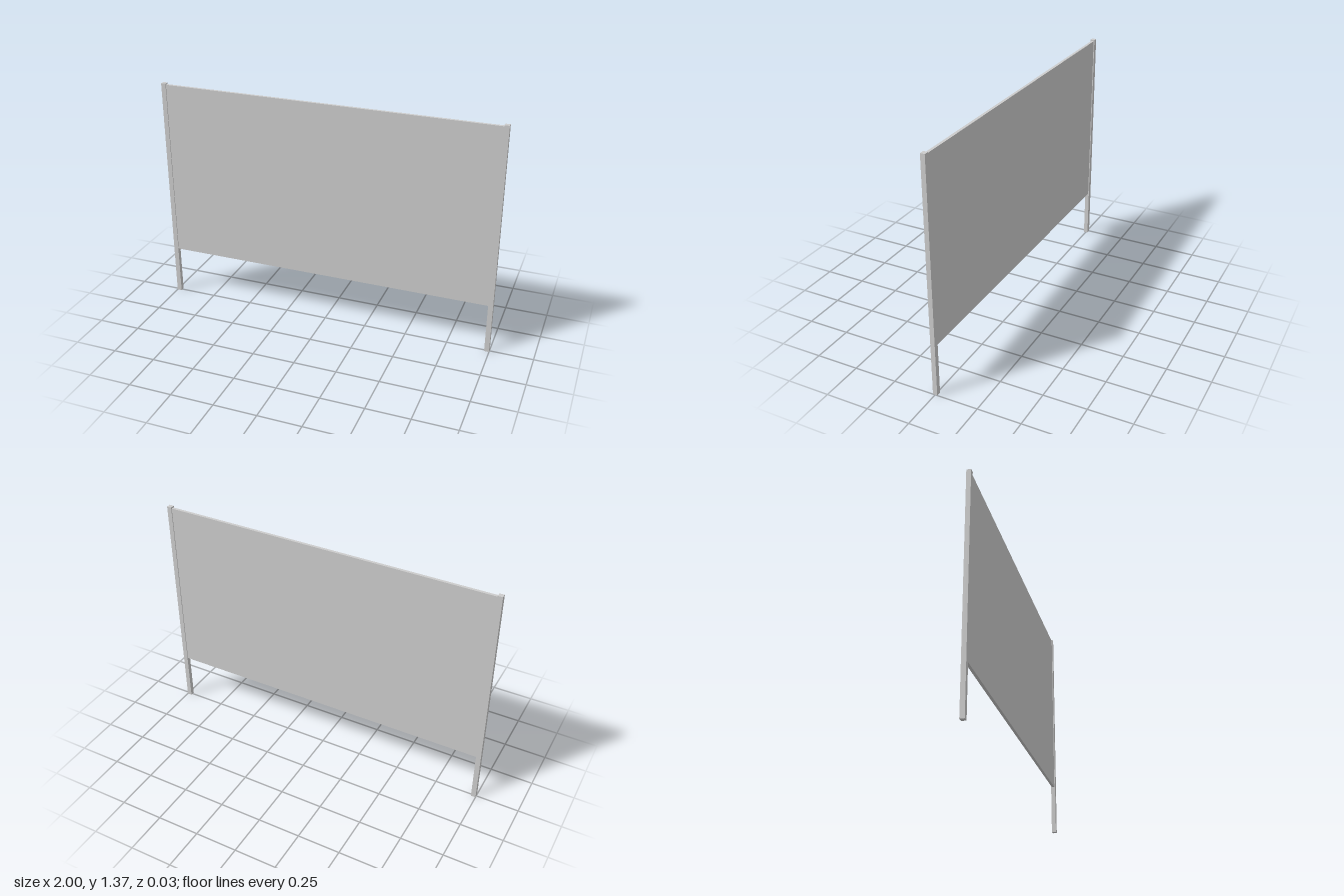
import * as THREE from 'three';

export function createModel() {
  const group = new THREE.Group();
  const material = new THREE.MeshStandardMaterial({ color: 0xcccccc });

  const postWidth = 0.028, postDepth = 0.026, postHeight = 1.365;
  const panelBottom = 0.297, panelTop = 1.357, panelDepth = 0.016;

  function addBox(name, w, h, d, x, y) {
    const mesh = new THREE.Mesh(new THREE.BoxGeometry(w, h, d), material);
    mesh.name = name;
    mesh.position.set(x, y, 0);
    group.add(mesh);
  }

  // Square posts at both ends
  for (const [name, side] of [['leftPost', 1], ['rightPost', -1]]) {
    addBox(name, postWidth, postHeight, postDepth, side * (1 - postWidth / 2), postHeight / 2);
  }

  // Flat panel held between the posts
  addBox('panel', 2 - 2 * postWidth, panelTop - panelBottom, panelDepth, 0, (panelTop + panelBottom) / 2);

  return group;
}
